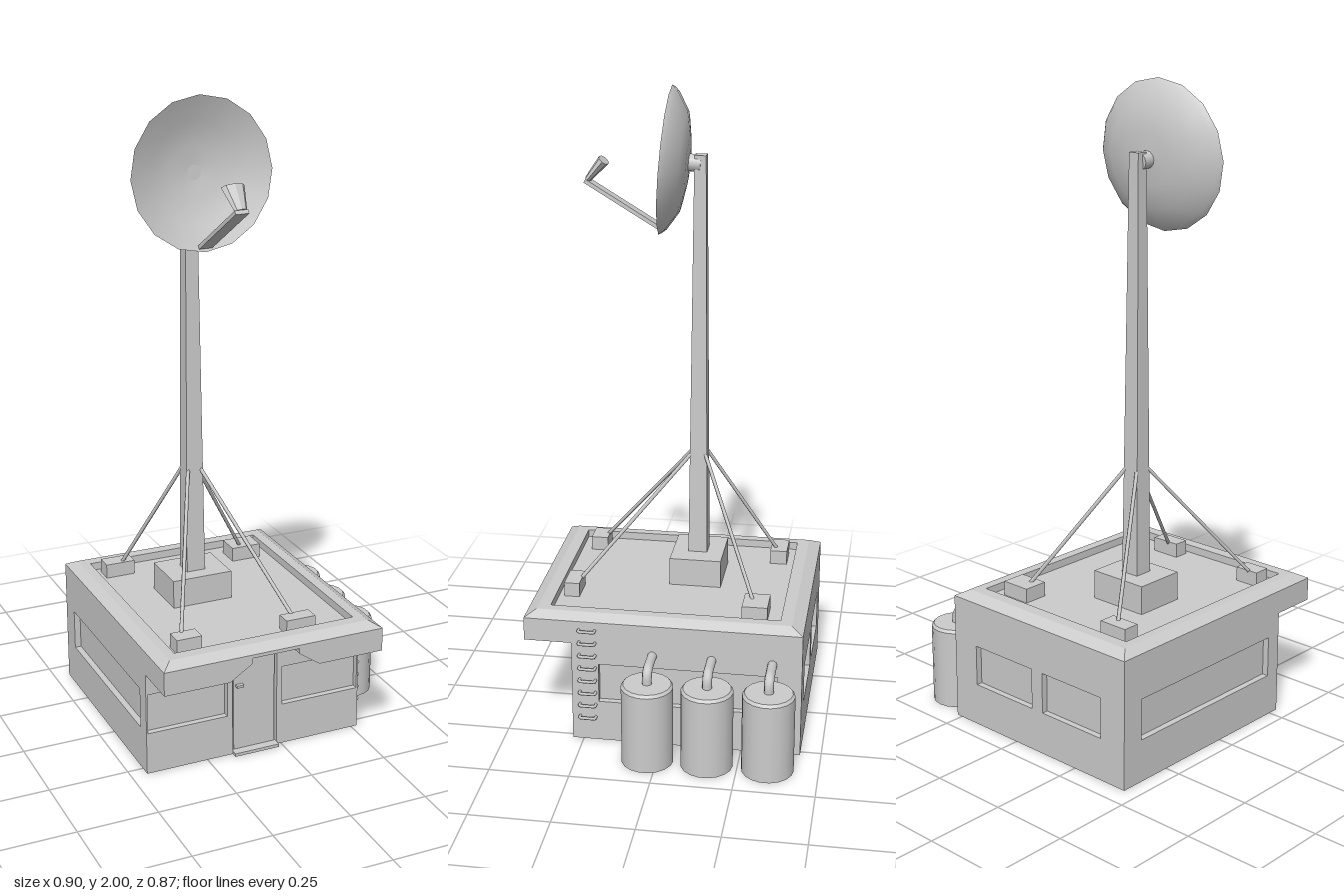
import * as THREE from 'three';

const flat = new THREE.MeshStandardMaterial({ color: 0xcccccc, flatShading: true, side: THREE.DoubleSide });
const smooth = new THREE.MeshStandardMaterial({ color: 0xcccccc, side: THREE.DoubleSide });
const V = (x, y, z) => new THREE.Vector3(x, y, z);

function add(parent, name, geo, mat = flat) {
  const mesh = new THREE.Mesh(geo, mat);
  mesh.name = name;
  parent.add(mesh);
  return mesh;
}

// Box given by its limits
function box(parent, name, x0, x1, y0, y1, z0, z1) {
  const mesh = add(parent, name, new THREE.BoxGeometry(x1 - x0, y1 - y0, z1 - z0));
  mesh.position.set((x0 + x1) / 2, (y0 + y1) / 2, (z0 + z1) / 2);
  return mesh;
}

// Straight round bar between two points
function bar(parent, name, a, b, r, sides = 6) {
  const mesh = add(parent, name, new THREE.CylinderGeometry(r, r, a.distanceTo(b), sides), smooth);
  mesh.position.copy(a).lerp(b, 0.5);
  mesh.quaternion.setFromUnitVectors(V(0, 1, 0), b.clone().sub(a).normalize());
  return mesh;
}

// Polyline with rounded corners, swept as a pipe
function pipe(parent, name, pts, bend, r, sides) {
  const path = new THREE.CurvePath();
  let from = pts[0];
  for (let i = 1; i < pts.length - 1; i++) {
    const p = pts[i];
    const a = p.clone().add(pts[i - 1].clone().sub(p).setLength(bend));
    const b = p.clone().add(pts[i + 1].clone().sub(p).setLength(bend));
    path.add(new THREE.LineCurve3(from, a));
    path.add(new THREE.QuadraticBezierCurve3(a, p, b));
    from = b;
  }
  path.add(new THREE.LineCurve3(from, pts[pts.length - 1]));
  return add(parent, name, new THREE.TubeGeometry(path, 20, r, sides), smooth);
}

// Wall panel with rectangular openings [u0, u1, y0, y1]
function wall(parent, name, u0, u1, openings) {
  const rect = (T, a, b, c, d) => new T([[a, c], [b, c], [b, d], [a, d]].map(p => new THREE.Vector2(...p)));
  const shape = rect(THREE.Shape, u0, u1, 0, 0.398);
  for (const o of openings) shape.holes.push(rect(THREE.Path, ...o));
  return add(parent, name, new THREE.ExtrudeGeometry(shape, { depth: 0.02, bevelEnabled: false }));
}

// Skin over stacked rectangles [x0, x1, z0, z1, y]
function rectLoft(rings) {
  const pos = [], idx = [];
  for (const [x0, x1, z0, z1, y] of rings) pos.push(x0, y, z1, x1, y, z1, x1, y, z0, x0, y, z0);
  for (let i = 0; i < rings.length - 1; i++) {
    for (let j = 0; j < 4; j++) {
      const a = i * 4 + j, b = i * 4 + (j + 1) % 4;
      idx.push(a, b, b + 4, a, b + 4, a + 4);
    }
  }
  const geo = new THREE.BufferGeometry();
  geo.setAttribute('position', new THREE.Float32BufferAttribute(pos, 3));
  geo.setIndex(idx);
  const out = geo.toNonIndexed();
  out.computeVertexNormals();
  return out;
}

function buildHouse(parent) {
  const g = new THREE.Group();
  g.name = 'building';
  parent.add(g);
  box(g, 'core', -0.43, 0.25, 0, 0.398, -0.415, 0.265);

  // Walls with recessed windows
  const lo = 0.135, hi = 0.265;
  wall(g, 'frontWall', -0.45, 0.27,
    [[-0.445, -0.183, lo, hi], [0.003, 0.265, lo, hi], [-0.165, -0.015, 0.01, 0.395]]).position.z = 0.265;
  const back = wall(g, 'backWall', -0.27, 0.45, [[-0.175, 0.07, lo, hi], [0.115, 0.355, lo, hi]]);
  back.rotation.y = Math.PI;
  back.position.z = -0.415;
  const left = wall(g, 'leftWall', -0.265, 0.415, [[-0.2, 0.36, lo, hi]]);
  left.rotation.y = Math.PI / 2;
  left.position.x = 0.25;
  const right = wall(g, 'rightWall', -0.415, 0.265, [[-0.36, 0.235, lo, hi]]);
  right.rotation.y = -Math.PI / 2;
  right.position.x = -0.43;

  // Door
  box(g, 'door', -0.159, -0.021, 0.012, 0.389, 0.26, 0.279);
  box(g, 'doorHandle', -0.152, -0.13, 0.226, 0.234, 0.279, 0.292);
  box(g, 'doorStep', -0.165, -0.015, 0, 0.01, 0.285, 0.305);

  // Front overhang, notched above the door
  const profile = [[-0.45, 0.333], [-0.24, 0.333], [-0.167, 0.38], [-0.167, 0.397], [-0.013, 0.397],
    [-0.013, 0.38], [0.055, 0.333], [0.27, 0.333], [0.27, 0.398], [-0.45, 0.398]];
  const overhang = add(g, 'overhang', new THREE.ExtrudeGeometry(
    new THREE.Shape(profile.map(p => new THREE.Vector2(...p))), { depth: 0.15, bevelEnabled: false }));
  overhang.position.z = 0.285;

  // Roof with chamfered rim and sunken deck
  const mid = [-0.09, -0.09, 0, 0], outer = [-0.45, 0.27, -0.435, 0.435];
  const top = [-0.418, 0.237, -0.398, 0.4], deck = [-0.388, 0.205, -0.36, 0.362];
  add(g, 'roof', rectLoft([[...mid, 0.398], [...outer, 0.398], [...outer, 0.408], [...top, 0.427],
    [...deck, 0.427], [...deck, 0.402], [...mid, 0.402]]));

  // Ladder rungs
  for (let i = 0; i < 8; i++) {
    const y = 0.08 + i * 0.043;
    pipe(g, 'ladderRung', [V(0.265, y, 0.21), V(0.286, y, 0.21), V(0.286, y, 0.26), V(0.265, y, 0.26)], 0.006, 0.005, 6);
  }
}

function buildTanks(parent) {
  const body = [[0, 0], [0.081, 0], [0.081, 0.255], [0.074, 0.264], [0, 0.264]];
  for (const z of [-0.343, -0.155, 0.03]) {
    const g = new THREE.Group();
    g.name = 'tank';
    g.position.set(0.366, 0, z);
    parent.add(g);
    // Each straight stretch is its own lathe, so the edges stay sharp
    for (let i = 0; i < body.length - 1; i++) {
      add(g, 'tankShell', new THREE.LatheGeometry([body[i], body[i + 1]].map(p => new THREE.Vector2(...p)), 18), smooth);
    }
    pipe(g, 'tankPipe', [V(-0.1, 0.307, 0), V(0, 0.307, 0), V(0, 0.255, 0)], 0.03, 0.015, 10);
  }
}

function buildMast(parent) {
  const g = new THREE.Group();
  g.name = 'mast';
  parent.add(g);
  const cx = -0.151, cz = -0.056;
  box(g, 'mastBase', -0.25, -0.052, 0.4, 0.493, -0.14, 0.026);
  const sq = (h, y) => [cx - h, cx + h, cz - h, cz + h, y];
  add(g, 'mastPole', rectLoft([sq(0, 0.45), sq(0.031, 0.45), sq(0.018, 1.79), sq(0, 1.79)]));

  // Stay rods and their anchor blocks: rod foot x, z, then block limits
  const stays = [
    [-0.30, -0.30, -0.36, -0.263, -0.335, -0.28],
    [0.11, -0.264, 0.071, 0.17, -0.315, -0.235],
    [-0.332, 0.283, -0.365, -0.285, 0.275, 0.33],
    [0.028, 0.302, -0.012, 0.085, 0.296, 0.345],
  ];
  for (const [x, z, x0, x1, z0, z1] of stays) {
    box(g, 'anchorBlock', x0, x1, 0.4, 0.448, z0, z1);
    bar(g, 'stayRod', V(x, 0.44, z), V(cx + Math.sign(x - cx) * 0.02, 0.835, cz + Math.sign(z - cz) * 0.02), 0.006);
  }
}

function buildDish(parent) {
  // Local frame: rim centre at the origin, dish facing +z
  const g = new THREE.Group();
  g.name = 'dish';
  g.position.set(-0.15, 1.77, 0.049);
  g.rotation.set(-0.075, 0.04, 0, 'YXZ');
  parent.add(g);

  const shell = [[0, -0.07], [0.08, -0.066], [0.155, -0.052], [0.214, -0.016], [0.228, 0]];
  const inner = [[0.228, 0], [0.15, -0.035], [0.08, -0.055], [0, -0.062]];
  for (const [name, pts] of [['dishBack', shell], ['dishBowl', inner]]) {
    const geo = new THREE.LatheGeometry(pts.map(p => new THREE.Vector2(...p)), 16);
    geo.rotateX(Math.PI / 2);
    add(g, name, geo, smooth);
  }
  bar(g, 'dishMount', V(0, 0, -0.06), V(0, 0, -0.105), 0.027, 12);

  // Feed arm
  const a = V(0, -0.212, -0.003), b = V(0, -0.084, 0.245);
  const arm = add(g, 'feedArm', new THREE.BoxGeometry(0.043, 0.012, a.distanceTo(b)));
  arm.position.copy(a).lerp(b, 0.5);
  arm.rotation.x = -Math.atan2(b.y - a.y, b.z - a.z);

  // Feed horn, flattened and aimed at the bowl
  const horn = add(g, 'feedHorn', new THREE.CylinderGeometry(0.037, 0.02, 0.078, 8).scale(1, 1, 0.5));
  horn.position.set(0, -0.05, 0.215);
  horn.rotation.x = -0.62;
}

export function createModel() {
  const model = new THREE.Group();
  model.name = 'relayStation';
  buildHouse(model);
  buildTanks(model);
  buildMast(model);
  buildDish(model);
  return model;
}
